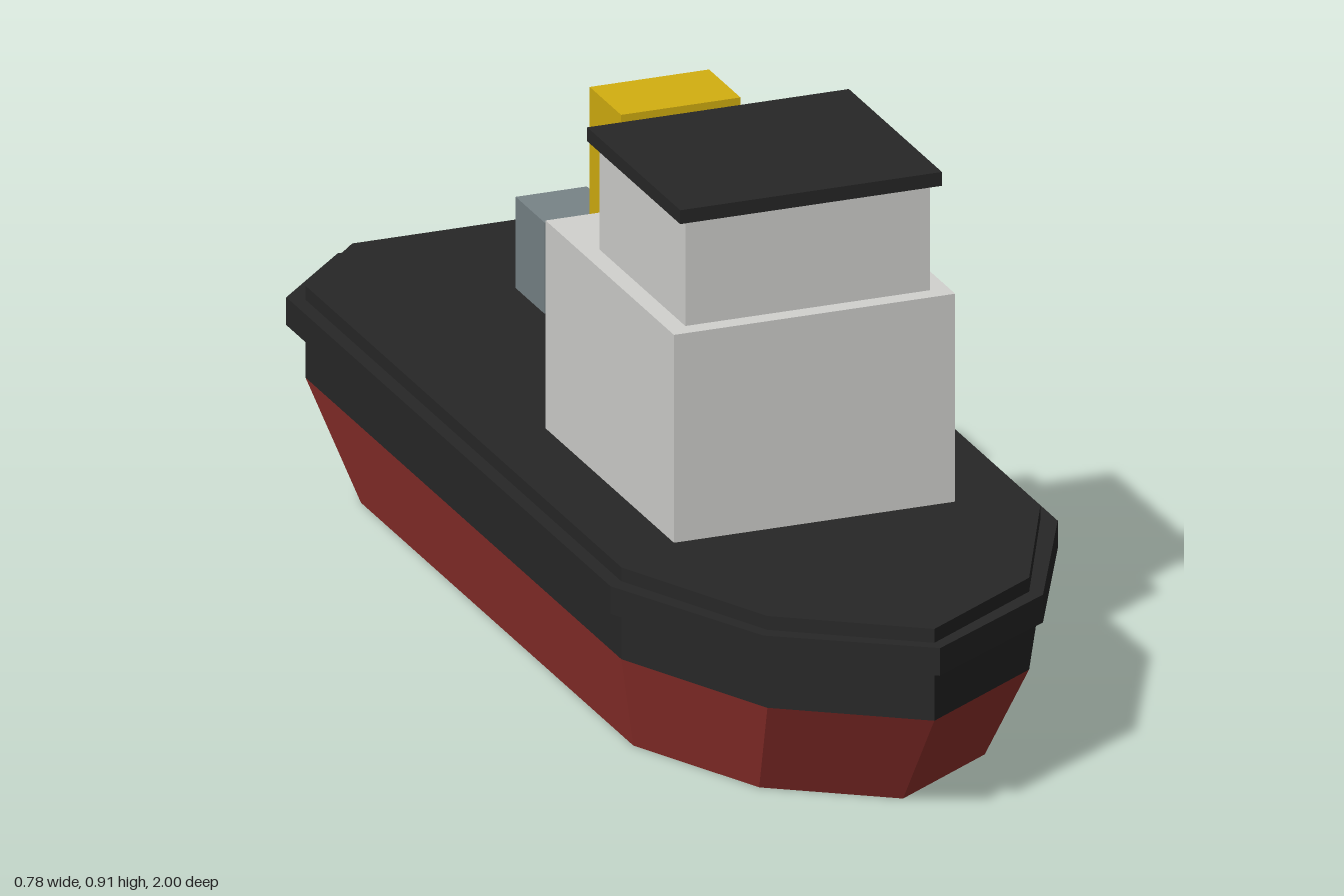
import * as THREE from 'three';

const flat = (name, color) => {
  const m = new THREE.MeshStandardMaterial({ color });
  m.name = name;
  return m;
};

// Half outline of the deck from bow to stern, as [x, z]
const HALF = [[0, 0.975], [0.228, 0.82], [0.365, 0.53], [0.365, -0.828], [0.224, -0.975]];
const OUTLINE = [...HALF, ...HALF.slice(1).reverse().map(([x, z]) => [-x, z])];

// Closed solid between scaled copies of the outline; each level is [y, scaleX, scaleZ]
function loft(bottom, top) {
  const pos = [];
  const at = ([y, sx, sz], i) => {
    const [x, z] = OUTLINE[i % OUTLINE.length];
    return [x * sx, y, z * sz];
  };
  const tri = (a, b, c) => pos.push(...a, ...b, ...c);
  for (let i = 0; i < OUTLINE.length; i++) {
    const a = at(bottom, i), b = at(bottom, i + 1), c = at(top, i + 1), d = at(top, i);
    tri(a, b, c);
    tri(a, c, d);
    tri([0, top[0], 0], d, c);
    tri([0, bottom[0], 0], b, a);
  }
  const geo = new THREE.BufferGeometry();
  geo.setAttribute('position', new THREE.Float32BufferAttribute(pos, 3));
  geo.computeVertexNormals();
  return geo;
}

// Box given by half width, y range and z range
function block(halfX, y0, y1, z0, z1) {
  return new THREE.BoxGeometry(halfX * 2, y1 - y0, z1 - z0)
    .translate(0, (y0 + y1) / 2, (z0 + z1) / 2);
}

export function createModel() {
  const black = flat('black', 0x272727);
  const red = flat('hullRed', 0x9b3530);
  const white = flat('offWhite', 0xd2d2cf);
  const yellow = flat('funnelYellow', 0xd4b010);
  const grey = flat('steelGrey', 0x788488);

  const boat = new THREE.Group();
  boat.name = 'tugboat';
  const add = (name, geo, mat) => {
    const mesh = new THREE.Mesh(geo, mat);
    mesh.name = name;
    boat.add(mesh);
  };

  // Hull: tapered underside, straight upper sides, rubbing strake
  add('lowerHull', loft([0, 0.862, 0.862], [0.183, 1, 1]), red);
  add('upperHull', loft([0.183, 1, 1], [0.342, 1, 1]), black);
  add('fender', loft([0.27, 1.068, 1.026], [0.318, 1.068, 1.026]), black);

  // Superstructure
  add('deckhouse', block(0.245, 0.342, 0.702, -0.092, 0.46), white);
  add('wheelhouse', block(0.213, 0.702, 0.886, 0.062, 0.43), white);
  add('wheelhouseRoof', block(0.228, 0.886, 0.91, 0.045, 0.445), black);

  // Deck fittings
  add('funnel', block(0.104, 0.49, 0.856, -0.25, -0.115), yellow);
  add('towingPost', block(0.062, 0.35, 0.508, -0.672, -0.548), grey);

  return boat;
}
